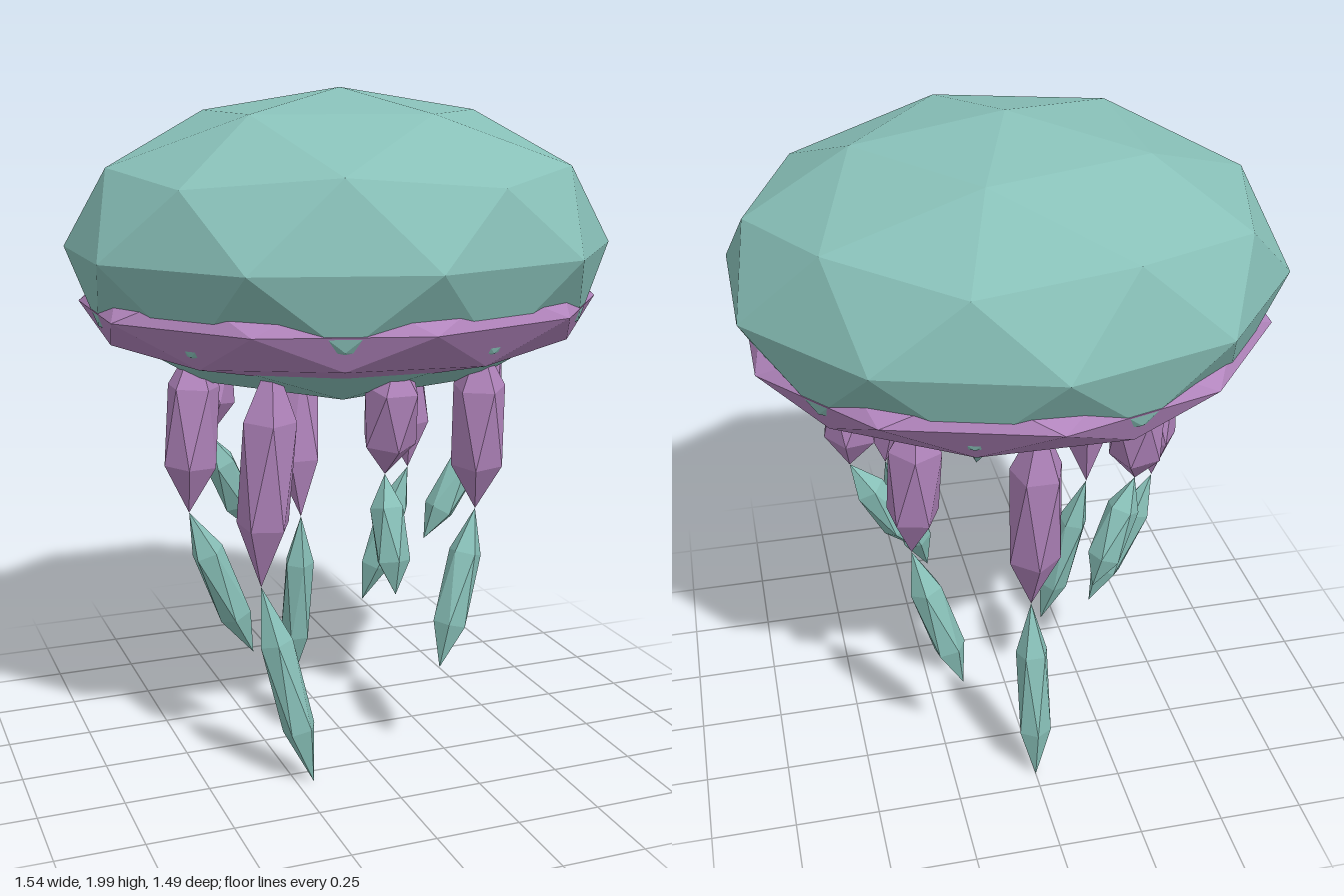
import * as THREE from 'three';

const teal = new THREE.MeshStandardMaterial({ color: 0x88c0b8, flatShading: true });
teal.name = 'teal';
const purple = new THREE.MeshStandardMaterial({ color: 0xb285bd, flatShading: true });
purple.name = 'purple';

const UP = new THREE.Vector3(0, 1, 0);

// Icosphere turned so that one vertex points straight up
function poleIcosphere(detail) {
  const geometry = new THREE.IcosahedronGeometry(1, detail);
  geometry.rotateZ(-Math.atan(2 / (1 + Math.sqrt(5))));
  geometry.computeVertexNormals();
  return geometry;
}

const bellGeometry = poleIcosphere(1);
const spindleGeometry = poleIcosphere(0);

function ellipsoid(name, material, y, sx, sy, sz) {
  const mesh = new THREE.Mesh(bellGeometry, material);
  mesh.name = name;
  mesh.position.y = y;
  mesh.scale.set(sx, sy, sz);
  return mesh;
}

// Stretched icosahedron between two points
function spindle(name, material, from, to, radius, yaw) {
  const mesh = new THREE.Mesh(spindleGeometry, material);
  mesh.name = name;
  const axis = from.clone().sub(to);
  mesh.position.copy(from).add(to).multiplyScalar(0.5);
  mesh.scale.set(radius, axis.length() / 2, radius);
  mesh.quaternion
    .setFromUnitVectors(UP, axis.normalize())
    .multiply(new THREE.Quaternion().setFromAxisAngle(UP, yaw));
  return mesh;
}

export function createModel() {
  const model = new THREE.Group();
  model.name = 'jellyfish';

  // Bell, and the flattened disc whose edge shows as a rim
  model.add(ellipsoid('bell', teal, 1.55, 0.81, 0.45, 0.743));
  model.add(ellipsoid('rim', purple, 1.39, 0.773, 0.22, 0.709));

  // Eight tentacles in three repeating lengths
  for (let i = 0; i < 8; i++) {
    const angle = (i * Math.PI) / 4;
    const at = (rx, y, rz) =>
      new THREE.Vector3(rx * Math.cos(angle), y, -rz * Math.sin(angle));
    const size = i % 3;
    const root = at(0.445, 1.3, 0.44);
    const joint = at(0.475, 0.94 - 0.165 * size, 0.36);
    const tip = at(0.283, 0.61 - 0.3 * size, 0.445);

    const tentacle = new THREE.Group();
    tentacle.name = 'tentacle' + (i + 1);
    tentacle.add(spindle('upperTentacle', purple, root, joint, 0.088, angle + Math.PI));
    tentacle.add(spindle('lowerTentacle', teal, joint, tip, 0.056, angle + Math.PI));
    model.add(tentacle);
  }
  return model;
}
